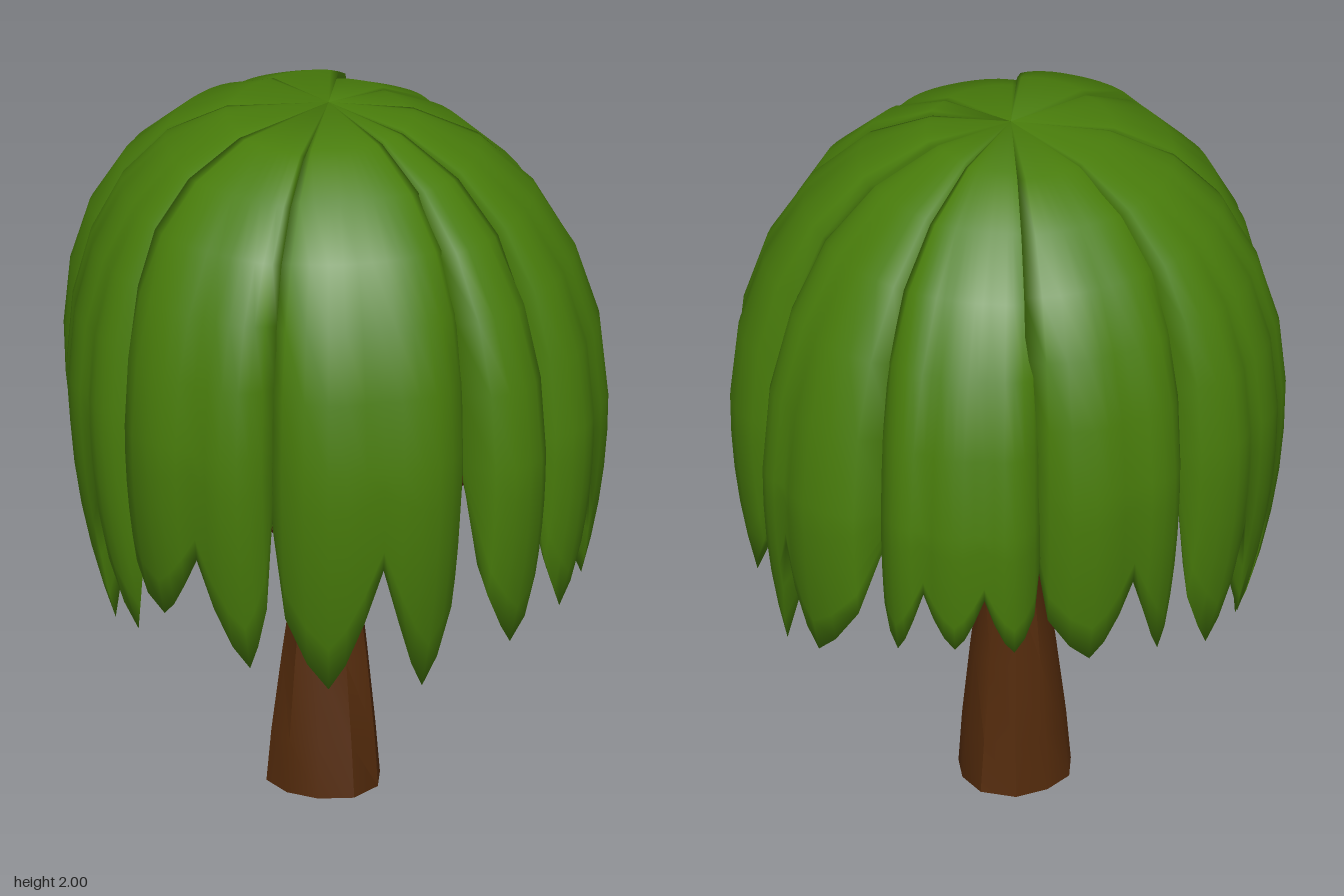
import * as THREE from 'three';
import { mergeVertices, toCreasedNormals } from 'three/addons/utils/BufferGeometryUtils.js';

const leafGreen = new THREE.MeshStandardMaterial({ color: 0x497d0b });
leafGreen.name = 'leafGreen';
const barkBrown = new THREE.MeshStandardMaterial({ color: 0x542b0c });
barkBrown.name = 'barkBrown';

// Drooping leaf clumps: start and end angle (degrees, +x towards +z), radius,
// height of the widest point, dome roundness, strand tips as [angle, height]
const CLUMPS = [
  [-11, 12, 0.757, 1.17, 0.85, [[0, 0.62]]],
  [10, 62, 0.725, 1.22, 0.8, [[21, 0.52], [46, 0.54]]],
  [59, 102, 0.745, 1.25, 0.7, [[66, 0.59], [87, 0.72]]],
  [100, 145, 0.715, 1.25, 0.7, [[107, 0.57], [122, 0.54], [138, 0.7]]],
  [143, 193, 0.757, 1.25, 0.78, [[153, 0.52], [167, 0.62], [181, 0.6]]],
  [190, 232, 0.725, 1.22, 0.74, [[197, 0.65], [217, 0.69]]],
  [228, 269, 0.745, 1.12, 0.9, [[235, 0.75], [248, 0.76], [262, 0.72]]],
  [266, 309, 0.75, 1.1, 0.95, [[284, 0.63], [301, 0.56]]],
  [306, 349, 0.757, 1.17, 0.88, [[322, 0.64], [339, 0.63]]],
];
const DOME_ROWS = 6, HANG_ROWS = 5, TIP_COLS = 6;

// One closed clump: a domed outer skin and an inner skin meeting along the jagged hem
function clumpGeometry(from, to, radius, shoulder, roundness, tips) {
  const cols = tips.length * TIP_COLS, rows = DOME_ROWS + HANG_ROWS;
  // notches lie halfway between neighbouring tips
  const notches = tips.map(([angle], n) => (n ? (angle + tips[n - 1][0]) / 2 : from)).concat(to);
  const pos = [], index = [];
  for (let skin = 0; skin < 2; skin++) {
    for (let i = 0; i <= rows; i++) {
      for (let j = 0; j <= cols; j++) {
        const n = Math.min(Math.floor(j / TIP_COLS), tips.length - 1);
        const w = ((j - n * TIP_COLS) / TIP_COLS) * 2 - 1;
        const [tipAngle, tipY] = tips[n];
        const degrees = THREE.MathUtils.lerp(tipAngle, w < 0 ? notches[n] : notches[n + 1], Math.abs(w));
        const u = ((degrees - from) / (to - from)) * 2 - 1;
        const notch = j === 0 || j === cols ? shoulder - 0.05 : 0.92;
        const hem = tipY + (notch - tipY) * Math.pow(Math.abs(w), 1.4);
        const a = Math.min(i / DOME_ROWS, 1) * Math.PI / 2;
        const hang = Math.max(0, (i - DOME_ROWS) / HANG_ROWS);
        // rounded section across the clump, with a shallow crease between strands
        const bulge = 1 - (0.12 * u ** 4 + 0.025 * w * w) * Math.sin(a) ** 4;
        let r = radius * Math.pow(Math.sin(a), roundness) * bulge;
        let y = shoulder + (2 - shoulder) * Math.cos(a) * (1 - 0.03 * u ** 4 * Math.sin(a));
        if (hang > 0) {
          y = shoulder + (hem - shoulder) * hang;
          r *= 1 - 0.17 * ((shoulder - y) / 0.7) ** 2;
        }
        if (skin) {
          const k = 1 - 0.14 * (1 - u ** 4) * (1 - hang ** 6);
          r *= k;
          if (y > shoulder) y = shoulder + (y - shoulder) * k;
        }
        const angle = THREE.MathUtils.degToRad(degrees);
        pos.push(r * Math.cos(angle), y, r * Math.sin(angle));
      }
    }
    const base = skin * (rows + 1) * (cols + 1);
    for (let i = 0; i < rows; i++) {
      for (let j = 0; j < cols; j++) {
        const p = base + i * (cols + 1) + j, q = p + cols + 1;
        if (skin) index.push(p, q, p + 1, p + 1, q, q + 1);
        else index.push(p, p + 1, q, p + 1, q + 1, q);
      }
    }
  }
  const geo = new THREE.BufferGeometry();
  geo.setAttribute('position', new THREE.Float32BufferAttribute(pos, 3));
  geo.setIndex(index);
  const welded = mergeVertices(geo, 1e-4);
  welded.computeVertexNormals();
  return welded;
}

// Flared trunk with a gnarled, slightly twisting outline
function trunkGeometry() {
  const profile = [[0, 0], [0.155, 0], [0.142, 0.15], [0.116, 0.38], [0.086, 0.62], [0.09, 0.72], [0.085, 0.84], [0, 0.92]]
    .map(([r, y]) => new THREE.Vector2(r, y));
  const geo = new THREE.LatheGeometry(profile, 10);
  const p = geo.attributes.position;
  for (let i = 0; i < p.count; i++) {
    const a = Math.atan2(p.getZ(i), p.getX(i));
    const k = 1 + 0.05 * Math.sin(3 * a + 1 + p.getY(i) * 3);
    p.setXYZ(i, p.getX(i) * k - 0.01, p.getY(i), p.getZ(i) * k);
  }
  return toCreasedNormals(geo, 0.65);
}

// Tapered branch along a curve
function branchGeometry(points, r0, r1) {
  const path = new THREE.CatmullRomCurve3(points.map((p) => new THREE.Vector3(...p)));
  const steps = 8, sides = 7;
  const geo = new THREE.TubeGeometry(path, steps, r0, sides);
  const p = geo.attributes.position, v = new THREE.Vector3();
  for (let i = 0; i <= steps; i++) {
    const c = path.getPointAt(i / steps);
    const k = THREE.MathUtils.lerp(1, r1 / r0, i / steps);
    for (let j = 0; j <= sides; j++) {
      const n = i * (sides + 1) + j;
      v.fromBufferAttribute(p, n).sub(c).multiplyScalar(k).add(c);
      p.setXYZ(n, v.x, v.y, v.z);
    }
  }
  return geo;
}

export function createModel() {
  const tree = new THREE.Group();
  tree.name = 'willowTree';
  const add = (parent, name, geo, mat) => {
    const mesh = new THREE.Mesh(geo, mat);
    mesh.name = name;
    parent.add(mesh);
  };

  add(tree, 'trunk', trunkGeometry(), barkBrown);

  // Branches spreading up into the crown: path, start radius, end radius
  const branches = new THREE.Group();
  branches.name = 'branches';
  const limbs = [
    [[[0, 0.66, 0], [0.14, 0.79, -0.14], [0.3, 0.98, -0.3], [0.37, 1.25, -0.36]], 0.055, 0.02],
    [[[-0.02, 0.66, 0.01], [-0.13, 0.82, 0.12], [-0.26, 1.0, 0.25], [-0.34, 1.3, 0.32]], 0.055, 0.02],
    [[[0, 0.66, 0.01], [0.09, 0.84, 0.08], [0.18, 1.06, 0.16], [0.26, 1.4, 0.22]], 0.055, 0.02],
    [[[-0.02, 0.66, -0.01], [-0.12, 0.84, -0.08], [-0.22, 1.06, -0.14], [-0.3, 1.4, -0.2]], 0.05, 0.02],
    [[[-0.01, 0.7, 0], [-0.02, 0.95, -0.05], [-0.04, 1.2, -0.1], [-0.04, 1.6, -0.1]], 0.08, 0.03],
  ];
  for (const limb of limbs) add(branches, 'branch', branchGeometry(...limb), barkBrown);
  tree.add(branches);

  // Crown of overlapping clumps
  const crown = new THREE.Group();
  crown.name = 'crown';
  for (const clump of CLUMPS) add(crown, 'leafClump', clumpGeometry(...clump), leafGreen);
  tree.add(crown);
  return tree;
}
